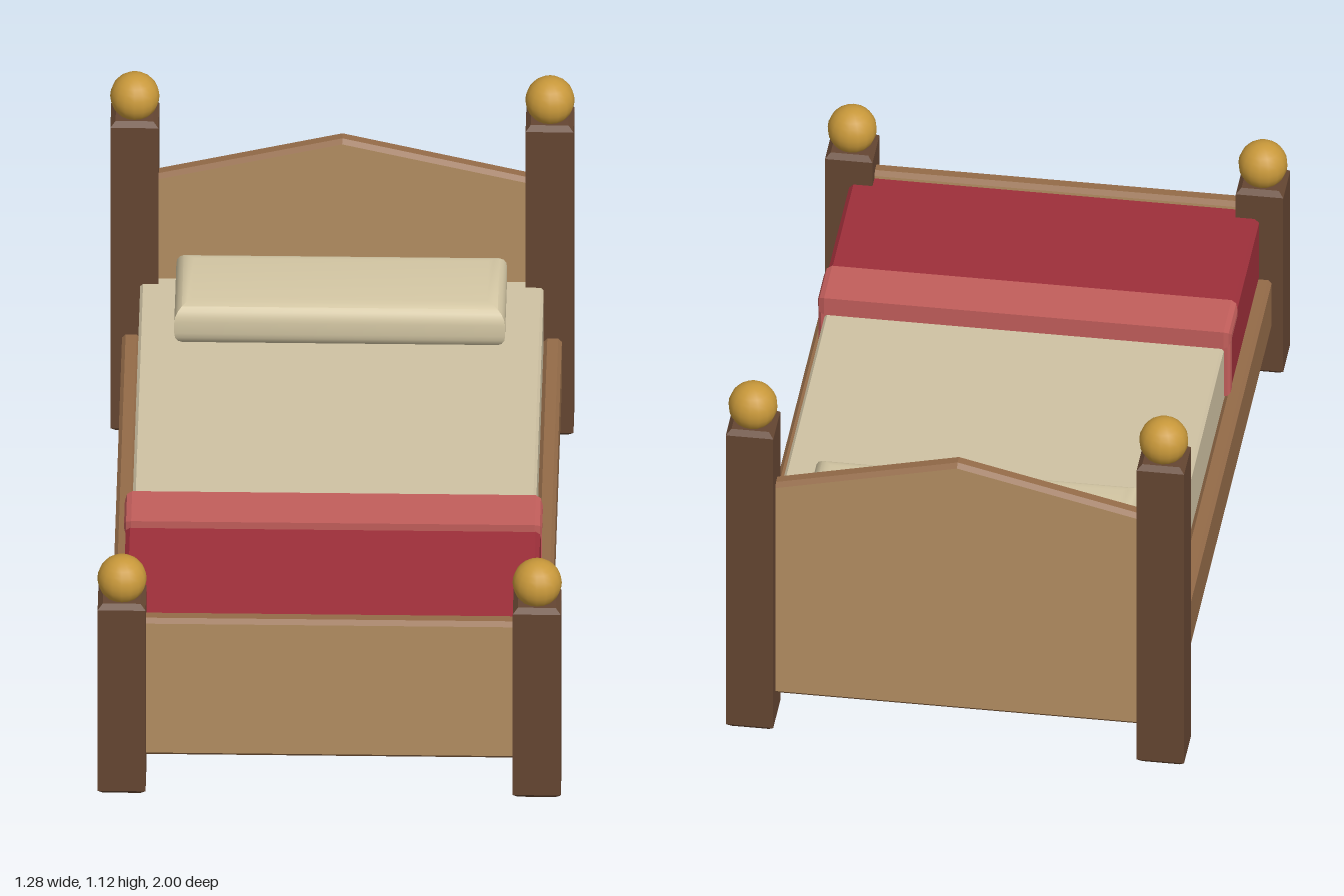
import * as THREE from 'three';
import { toCreasedNormals } from 'three/addons/utils/BufferGeometryUtils.js';

const paint = (name, color) => {
  const m = new THREE.MeshStandardMaterial({ color });
  m.name = name;
  return m;
};

// Extruded outline with bevelled ends, centred on z
function slab(points, depth, bevel, segments = 1) {
  const shape = new THREE.Shape(points.map(([x, y]) => new THREE.Vector2(x, y)));
  const geo = new THREE.ExtrudeGeometry(shape, {
    depth: depth - 2 * bevel, bevelEnabled: true, bevelSize: bevel,
    bevelThickness: bevel, bevelOffset: -bevel, bevelSegments: segments,
  });
  return geo.translate(0, 0, bevel - depth / 2);
}

// Centred block whose bevelled ends face along the given axis
function block(w, h, d, bevel, axis, segments = 1) {
  const rect = (a, b) => [[-a / 2, -b / 2], [a / 2, -b / 2], [a / 2, b / 2], [-a / 2, b / 2]];
  if (axis === 'y') return slab(rect(w, d), h, bevel, segments).rotateX(-Math.PI / 2);
  if (axis === 'x') return slab(rect(d, h), w, bevel, segments).rotateY(Math.PI / 2);
  return slab(rect(w, h), d, bevel, segments);
}

export function createModel() {
  const bed = new THREE.Group();
  bed.name = 'bed';

  const darkWood = paint('darkWood', 0x654632);
  const railWood = paint('railWood', 0x946b48);
  const panelWood = paint('panelWood', 0xb48f62);
  const brass = paint('brass', 0xc8983a);
  const linen = paint('linen', 0xcfc2a3);
  const pillowCloth = paint('pillowCloth', 0xd4c7a4);
  const redCloth = paint('redCloth', 0x9e2f3a);
  const foldCloth = paint('foldCloth', 0xc25e5b);

  const add = (name, geo, mat, x, y, z) => {
    const mesh = new THREE.Mesh(geo, mat);
    mesh.name = name;
    mesh.position.set(x, y, z);
    bed.add(mesh);
    return mesh;
  };

  // Posts with ball finials, and side rails
  const ball = new THREE.SphereGeometry(0.068, 16, 12);
  for (const side of [-1, 1]) {
    const s = side > 0 ? 'left' : 'right';
    for (const [end, z, h] of [['Front', 0.934, 0.615], ['Back', -0.934, 1.005]]) {
      add(`${s}${end}Post`, block(0.132, h, 0.132, 0.014, 'y'), darkWood, side * 0.571, h / 2, z);
      add(`${s}${end}Finial`, ball, brass, side * 0.571, h + 0.05, z);
    }
    add(`${s}Rail`, block(0.05, 0.16, 1.8, 0.01, 'x'), railWood, side * 0.58, 0.24, 0);
  }

  // Panels: pale faces with darker bevelled edges
  const board = [panelWood, railWood];
  const headOutline = [[-0.53, 0.1], [0.53, 0.1], [0.53, 0.805], [0, 0.93], [-0.53, 0.805]];
  const footOutline = [[-0.53, 0.1], [0.53, 0.1], [0.53, 0.543], [-0.53, 0.543]];
  add('headboard', slab(headOutline, 0.05, 0.012), board, 0, 0, -0.936);
  add('footboard', slab(footOutline, 0.05, 0.012), board, 0, 0, 0.93);

  // Bedding
  add('mattress', block(1.11, 0.285, 1.81, 0.008, 'y'), linen, 0, 0.3425, 0);
  add('pillow', toCreasedNormals(block(0.91, 0.135, 0.305, 0.05, 'y', 5), 0.7),
    pillowCloth, 0, 0.5525, -0.6875);
  add('blanket', block(1.14, 0.205, 0.57, 0.012, 'x'), redCloth, 0, 0.4205, 0.625);

  // Turned-down fold: a thick cap over a narrow band that hangs down the sides
  add('foldCap', block(1.15, 0.056, 0.155, 0.02, 'x', 2), foldCloth, 0, 0.517, 0.3725);
  add('foldBand', block(1.146, 0.2, 0.045, 0.008, 'x'), foldCloth, 0, 0.425, 0.326);

  return bed;
}
